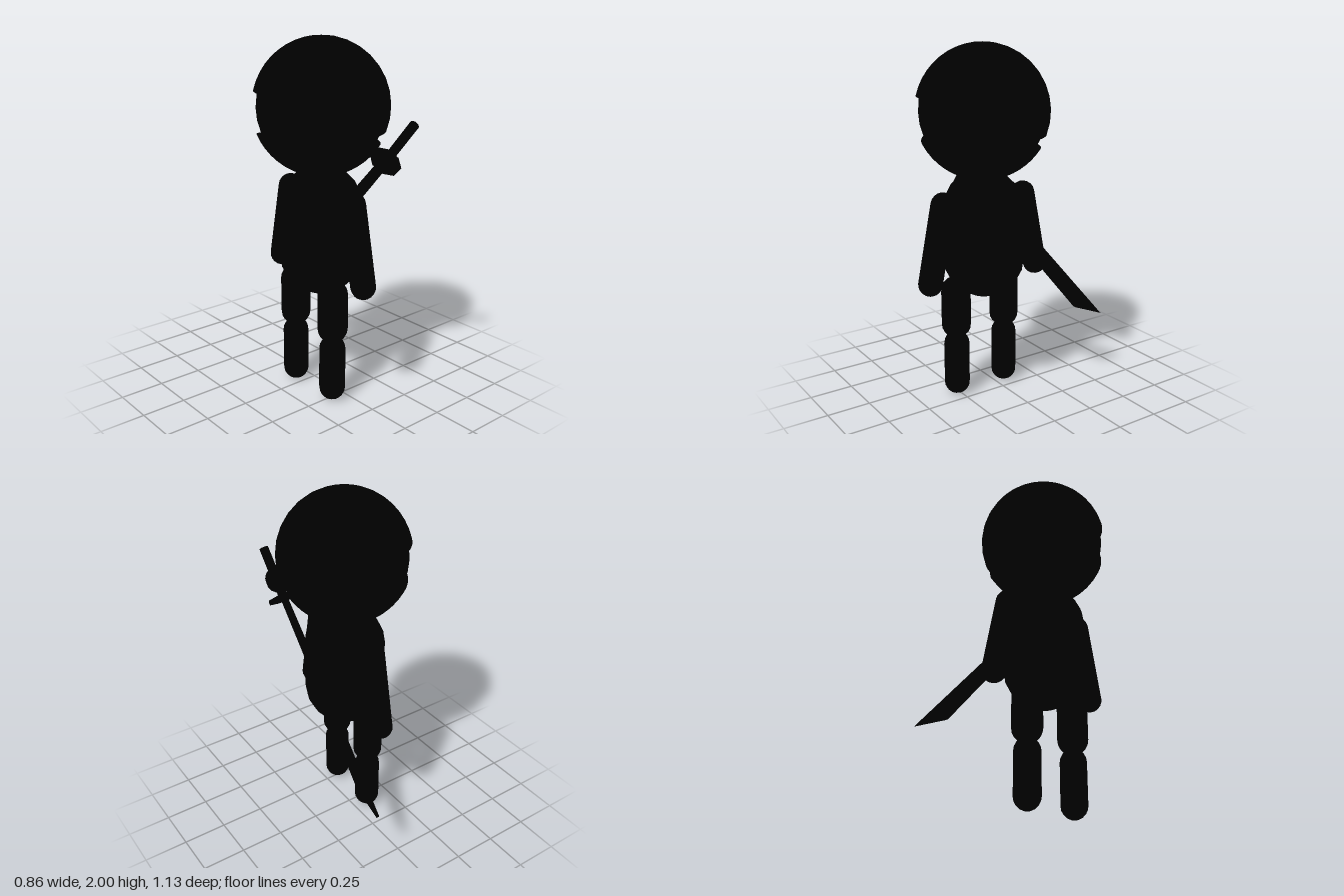
import * as THREE from 'three';
import { ParametricGeometry } from 'three/addons/geometries/ParametricGeometry.js';

const material = new THREE.MeshStandardMaterial({ color: 0x000000 });
const shellMaterial = new THREE.MeshStandardMaterial({ color: 0x000000, side: THREE.DoubleSide });

const HEAD = new THREE.Vector3(-0.04, 1.635, 0.105);
const MID_Z = 0.1; // the figure's symmetry plane; its face looks along -x

function add(parent, name, geometry, position, mat = material) {
  const mesh = new THREE.Mesh(geometry, mat);
  mesh.name = name;
  mesh.position.copy(position);
  parent.add(mesh);
  return mesh;
}

// Capsule whose end centres are a and b
function limb(parent, name, a, b, radius, sides = 16) {
  const from = new THREE.Vector3(...a), to = new THREE.Vector3(...b);
  const axis = to.clone().sub(from);
  const geometry = new THREE.CapsuleGeometry(radius, axis.length(), 5, sides);
  const mesh = add(parent, name, geometry, from.clone().add(to).multiplyScalar(0.5));
  mesh.quaternion.setFromUnitVectors(new THREE.Vector3(0, 1, 0), axis.normalize());
  return mesh;
}

// Piece of a sphere between two heights that vary with the angle from the face
function shell(parent, name, radius, topY, bottomY) {
  const elevation = (y) => Math.asin(THREE.MathUtils.clamp((y - HEAD.y) / radius, -1, 1));
  const geometry = new ParametricGeometry((u, v, target) => {
    const phi = u * Math.PI * 2;
    const fromFace = Math.abs(phi - Math.PI);
    const e = THREE.MathUtils.lerp(elevation(topY(fromFace)), elevation(bottomY(fromFace)), v);
    target.set(Math.cos(e) * Math.cos(phi), Math.sin(e), Math.cos(e) * Math.sin(phi)).multiplyScalar(radius);
  }, 60, 10);
  const p = geometry.attributes.position, n = geometry.attributes.normal;
  for (let i = 0; i < p.count; i++) n.setXYZ(i, p.getX(i) / radius, p.getY(i) / radius, p.getZ(i) / radius);
  return add(parent, name, geometry, HEAD, shellMaterial);
}

function createHead() {
  const head = new THREE.Group();
  head.name = 'head';
  add(head, 'face', new THREE.SphereGeometry(0.346, 24, 16), HEAD);

  // Hood with a window cut for the eyes
  shell(head, 'hood', 0.366, () => 3,
    (a) => THREE.MathUtils.mapLinear(THREE.MathUtils.clamp(a, 1.38, 1.62), 1.38, 1.62, 1.72, 1.51));

  // Mask over the mouth, dipping towards the back
  shell(head, 'mask', 0.371,
    (a) => 1.44 + 0.065 * Math.max(0, Math.cos(a)), () => -1);

  // Nose
  const nose = add(head, 'nose', new THREE.ConeGeometry(0.025, 0.07, 8), new THREE.Vector3(-0.395, 1.57, 0.103));
  nose.rotation.z = Math.PI / 2;

  // Knot at the back of the hood
  add(head, 'knot', new THREE.SphereGeometry(0.072, 10, 8), new THREE.Vector3(0.36, 1.61, 0.103));
  return head;
}

// Sword built pointing down its own -y, then tilted across the back
function createSword() {
  const sword = new THREE.Group();
  sword.name = 'sword';
  const O = new THREE.Vector3();

  // Blade profile: x is across the blade, y along it
  const profile = new THREE.Shape([
    [-0.025, 0], [-0.02, -0.3], [-0.022, -0.7], [-0.028, -1.12],
    [0.066, -1.309], [0.06, -0.62], [0.042, -0.25], [0.03, 0],
  ].map(([x, y]) => new THREE.Vector2(x, y)));
  const blade = new THREE.ExtrudeGeometry(profile, { depth: 0.018, bevelEnabled: false });
  blade.translate(0, 0, -0.009);
  add(sword, 'blade', blade, O);

  add(sword, 'guard', new THREE.CylinderGeometry(0.092, 0.092, 0.016, 8), O);
  add(sword, 'handle', new THREE.CylinderGeometry(0.027, 0.027, 0.3, 8), new THREE.Vector3(0, 0.15, 0));

  // Local x -> across (-z, +y), local y -> up the handle, local z -> side
  const up = new THREE.Vector3(0, 0.75, 0.66).normalize();
  const across = new THREE.Vector3(0, 0.66, -0.75).normalize();
  const side = across.clone().cross(up);
  sword.quaternion.setFromRotationMatrix(new THREE.Matrix4().makeBasis(across, up, side));
  sword.position.set(0.2, 1.345, 0.352);
  return sword;
}

export function createModel() {
  const model = new THREE.Group();
  model.name = 'figure';
  model.add(createHead(), createSword());

  // Body
  limb(model, 'body', [-0.04, 0.82, 0.105], [-0.04, 1.09, 0.105], 0.229, 24);

  // Arms and legs, mirrored about the symmetry plane
  for (const [s, label] of [[1, 'right'], [-1, 'left']]) {
    const z = (d) => MID_Z + s * d;
    limb(model, label + 'Arm', [-0.04, 1.152, z(0.262)], [-0.04, 0.72, z(0.35)], 0.068);
    limb(model, label + 'UpperLeg', [-0.088, 0.63, z(0.162)], [-0.088, 0.432, z(0.162)], 0.084);
    limb(model, label + 'LowerLeg', [-0.088, 0.31, z(0.162)], [-0.088, 0.073, z(0.162)], 0.073);
  }
  return model;
}
